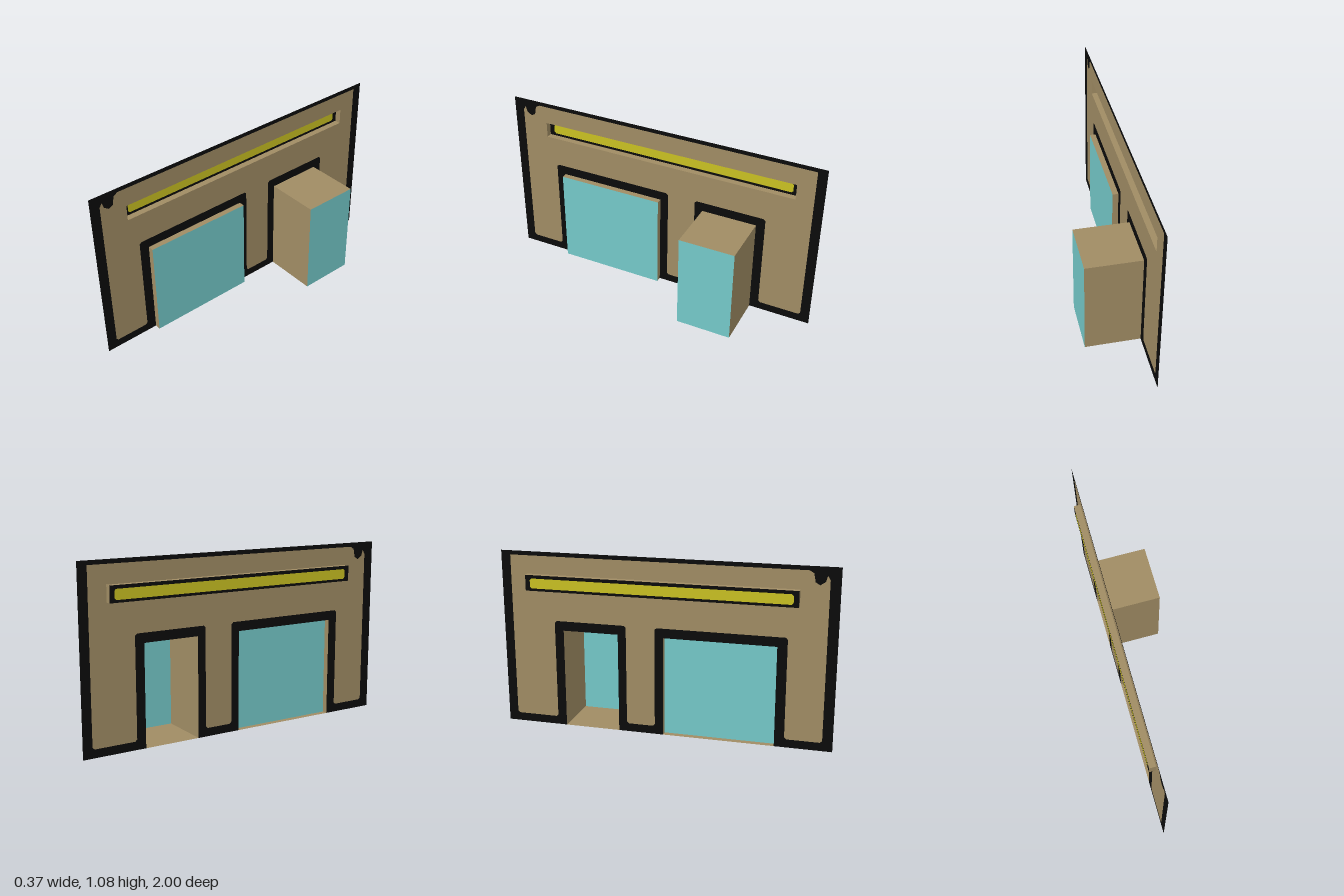
import * as THREE from 'three';

const mat = (name, color) => {
  const m = new THREE.MeshStandardMaterial({ color, side: THREE.DoubleSide });
  m.name = name;
  return m;
};

const WALL_X = -0.148;

export function createModel() {
  const group = new THREE.Group();
  const tan = mat('tan', 0xa08c64);
  const black = mat('black', 0x0b0b0b);
  const cyan = mat('cyan', 0x74c9c9);
  const yellow = mat('yellow', 0xc9c022);

  const points = (list) => list.map(([u, v]) => new THREE.Vector2(u, v));
  const rect = (a, b, lo, hi) => [[a, lo], [b, lo], [b, hi], [a, hi]];

  // Cuts each corner of an outline slightly
  const chamfer = (list, c) => list.flatMap((p, i) => {
    const n = list.length;
    return [list[(i + n - 1) % n], list[(i + 1) % n]].map((q) => {
      const d = Math.hypot(q[0] - p[0], q[1] - p[1]);
      const t = Math.min(c, d * 0.3) / d;
      return [p[0] + (q[0] - p[0]) * t, p[1] + (q[1] - p[1]) * t];
    });
  });

  // Flat sheet facing +x; outline is (u, v) with u = -z and v = y
  function sheet(name, outline, material, x, hole) {
    const shape = new THREE.Shape(points(outline));
    if (hole) shape.holes.push(new THREE.Path(points(hole)));
    const geo = new THREE.ShapeGeometry(shape).rotateY(Math.PI / 2);
    const mesh = new THREE.Mesh(geo, material);
    mesh.name = name;
    mesh.position.x = x;
    group.add(mesh);
  }

  // Four-sided tunnel between the wall and an end panel at x
  function tunnel(name, a, b, lo, hi, x) {
    const geo = new THREE.BoxGeometry(Math.abs(x - WALL_X), hi - lo, b - a);
    geo.setIndex(Array.from(geo.index.array).slice(12)); // drop both x faces
    geo.clearGroups();
    const mesh = new THREE.Mesh(geo, tan);
    mesh.name = name;
    mesh.position.set((x + WALL_X) / 2, (lo + hi) / 2, -(a + b) / 2);
    group.add(mesh);
  }

  const sign = [-0.78, 0.836, 0.845, 0.94];
  const wide = [-0.664, 0.004, 0, 0.603];
  const narrow = [0.28, 0.62, 0, 0.603];

  // Wall panel outline, with the ragged dark patch in one upper corner
  const panel = [
    ...chamfer([
      [-0.94, 0.05], [-0.722, 0.05], [-0.722, 0.66], [0.055, 0.66],
      [0.055, 0.05], [0.23, 0.05], [0.23, 0.66], [0.675, 0.66],
      [0.675, 0.05], [0.943, 0.05], [0.943, 1.05],
    ], 0.012).slice(1, -1),
    [0.943, 1.05],
    [-0.825, 1.05], [-0.85, 1.035], [-0.86, 0.985], [-0.885, 0.97],
    [-0.915, 0.99], [-0.925, 1.025], [-0.94, 1.0],
  ];
  panel.unshift([-0.94, 0.062], [-0.928, 0.05]);

  // Dark border running around the wall and both doorways
  const border = [
    [-1, 0], [wide[0], 0], [wide[0], 0.603], [wide[1], 0.603], [wide[1], 0],
    [narrow[0], 0], [narrow[0], 0.603], [narrow[1], 0.603], [narrow[1], 0],
    [1, 0], [1, 1.075], [-1, 1.075],
  ];
  sheet('wallPanel', panel, tan, WALL_X, rect(...sign));
  sheet('wallBorder', border, black, WALL_X, panel);

  // Projecting doorways
  for (const [name, r, x] of [['wideDoor', wide, -0.112], ['narrowDoor', narrow, 0.184]]) {
    tunnel(name + 'Surround', ...r, x);
    sheet(name + 'Glass', rect(...r), cyan, x);
  }

  // Recessed light strip, set behind the wall
  const glow = chamfer(rect(-0.75, 0.808, 0.86, 0.92), 0.01);
  tunnel('lightStripSurround', ...sign, -0.186);
  sheet('lightStripFrame', rect(...sign), black, -0.186, glow);
  sheet('lightStrip', glow, yellow, -0.186);

  return group;
}
